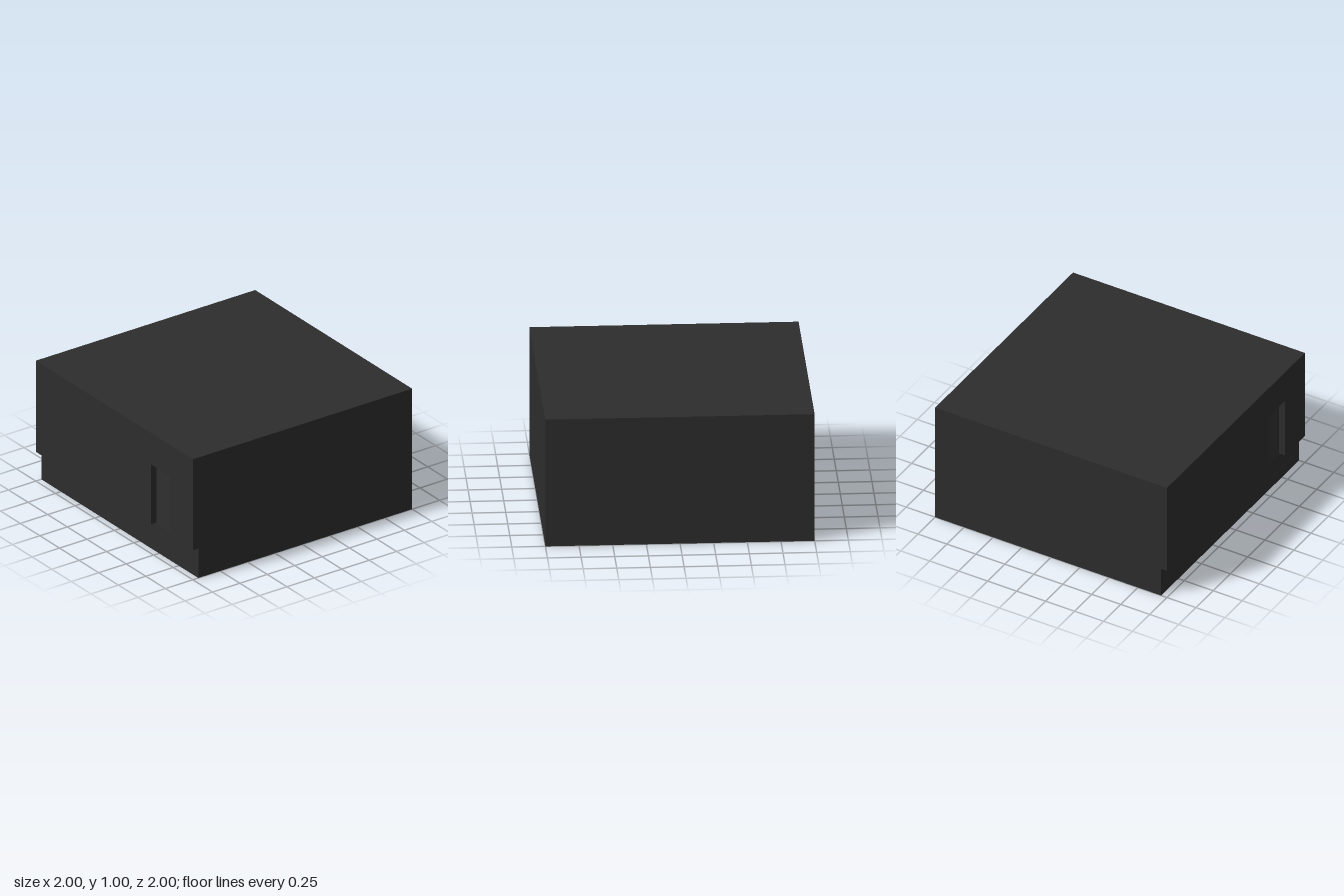
import * as THREE from 'three';

export function createModel() {
  const model = new THREE.Group();
  model.name = 'building';
  const wallMaterial = new THREE.MeshStandardMaterial({ color: 0x2d2d2d });
  wallMaterial.name = 'charcoal';
  const doorMaterial = new THREE.MeshStandardMaterial({ color: 0x2f2f2f });
  doorMaterial.name = 'door charcoal';

  function add(name, geometry, material, x, y, z) {
    const mesh = new THREE.Mesh(geometry, material);
    mesh.name = name;
    mesh.position.set(x, y, z);
    model.add(mesh);
  }

  // Main block, set back at the front
  add('mainBlock', new THREE.BoxGeometry(2, 1, 1.95), wallMaterial, 0, 0.5, -0.025);

  // Overhanging front wall with a doorway notched into its lower edge
  const wall = new THREE.Shape([
    [-1, 0.243], [0.47, 0.243], [0.47, 0.74], [0.71, 0.74],
    [0.71, 0.243], [1, 0.243], [1, 1], [-1, 1],
  ].map(([x, y]) => new THREE.Vector2(x, y)));
  add('frontWall', new THREE.ExtrudeGeometry(wall, { depth: 0.05, bevelEnabled: false }),
    wallMaterial, 0, 0, 0.95);

  // Door leaf at the back of the doorway, with a narrow gap on its left side
  add('door', new THREE.BoxGeometry(0.23, 0.502, 0.004), doorMaterial, 0.585, 0.489, 0.951);

  return model;
}
